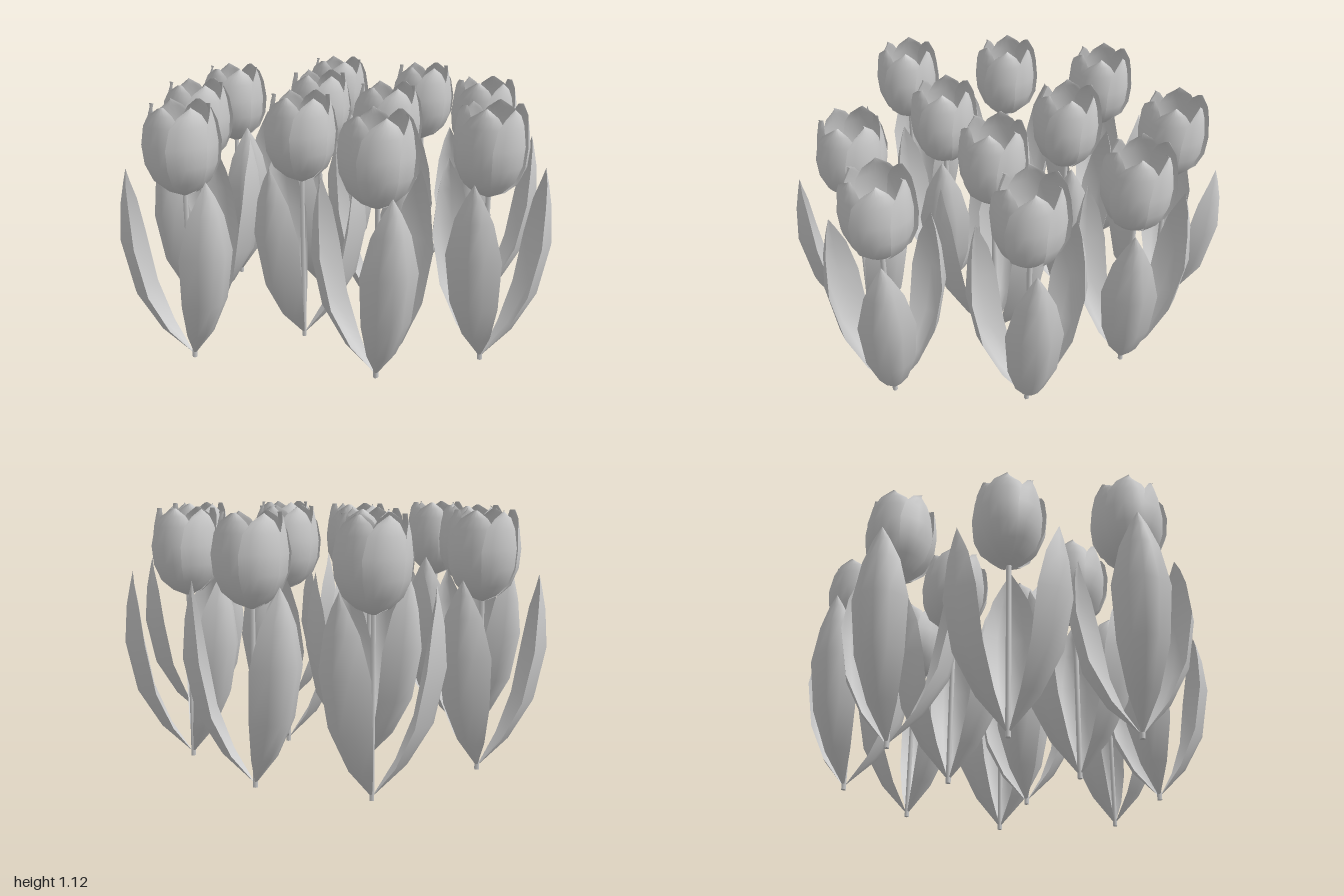
import * as THREE from 'three';

const material = new THREE.MeshStandardMaterial({ color: 0xcccccc, side: THREE.DoubleSide });

// x, z and turn (degrees, from +x towards +z) of every tulip
const PLACES = [
  [-0.41, -0.66, 45], [0.08, -0.68, 100], [0.51, -0.41, 87], [-0.74, -0.17, 40],
  [-0.26, -0.21, 90], [0.18, -0.07, 43], [0.74, 0.13, 84], [-0.61, 0.29, 92],
  [-0.04, 0.31, 92], [0.42, 0.49, 50], [-0.35, 0.715, 30],
];

// Thin curved sheet: point(row, u) gives a position, with u from -1 to 1 across
function sheet(rows, columns, point) {
  const positions = [], index = [];
  rows.forEach((row, i) => {
    for (let j = 0; j <= columns; j++) {
      positions.push(...point(row, (j / columns) * 2 - 1));
      if (i === 0 || j === 0) continue;
      const d = i * (columns + 1) + j, c = d - 1, b = d - columns - 1, a = b - 1;
      index.push(a, c, b, b, c, d);
    }
  });
  const geometry = new THREE.BufferGeometry();
  geometry.setAttribute('position', new THREE.Float32BufferAttribute(positions, 3));
  geometry.setIndex(index);
  geometry.computeVertexNormals();
  return geometry;
}

// Leaf rows: height, keel distance from the stem, half width, cup depth
const LEAF = [
  [0.02, 0.005, 0.004, 0], [0.15, 0.135, 0.06, 0.045], [0.32, 0.235, 0.1, 0.075],
  [0.54, 0.28, 0.115, 0.08], [0.7, 0.268, 0.078, 0.05], [0.79, 0.25, 0.036, 0.018],
  [0.85, 0.236, 0.001, 0],
];

// Petal rows: height, radius, half angle in degrees
const PETAL = [
  [0.74, 0.012, 40], [0.765, 0.065, 42], [0.81, 0.112, 43], [0.88, 0.14, 44],
  [0.96, 0.147, 44], [1.04, 0.137, 38], [1.085, 0.126, 25], [1.118, 0.113, 2],
];

function createParts() {
  const leaf = sheet(LEAF, 4, ([y, r, w, cup], u) => [r - cup * u * u, y, w * u]);
  // One edge of a petal lies outside its neighbour, the other inside
  const petal = sheet(PETAL, 6, ([y, r, half], u) => {
    const a = THREE.MathUtils.degToRad(half) * u;
    const radius = r * (1 + 0.09 * u);
    return [radius * Math.cos(a), y, radius * Math.sin(a)];
  });
  const stem = new THREE.CylinderGeometry(0.011, 0.011, 0.76, 6);
  stem.translate(0, 0.38, 0);
  return { leaf, petal, stem };
}

// Repeat a part evenly around the stem
function ring(geometry, name, count) {
  const group = new THREE.Group();
  group.name = name + 'Ring';
  for (let i = 0; i < count; i++) {
    const mesh = new THREE.Mesh(geometry, material);
    mesh.name = name;
    mesh.rotation.y = (-i * Math.PI * 2) / count;
    group.add(mesh);
  }
  return group;
}

export function createModel() {
  const model = new THREE.Group();
  model.name = 'tulipBed';
  const { leaf, petal, stem } = createParts();
  for (const [x, z, turn] of PLACES) {
    const tulip = new THREE.Group();
    tulip.name = 'tulip';
    const stalk = new THREE.Mesh(stem, material);
    stalk.name = 'stem';
    tulip.add(stalk, ring(leaf, 'leaf', 3), ring(petal, 'petal', 6));
    tulip.position.set(x, 0, z);
    tulip.rotation.y = -THREE.MathUtils.degToRad(turn);
    model.add(tulip);
  }
  return model;
}
